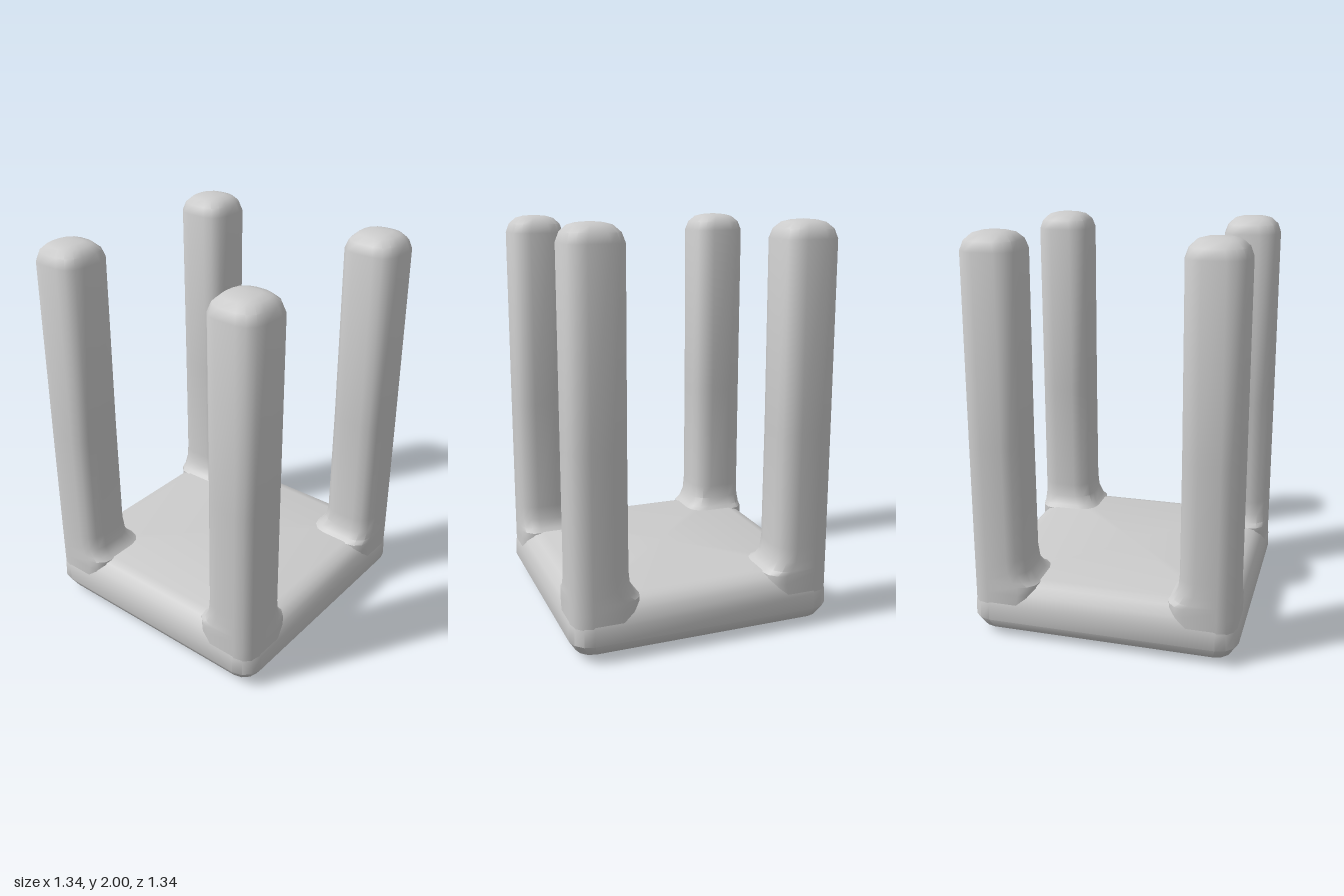
import * as THREE from 'three';
import { toCreasedNormals } from 'three/addons/utils/BufferGeometryUtils.js';

const CORNER_STEPS = 3;

// Outline of a rounded square at height y, centred on (cx, cz)
function ring(y, cx, cz, half, radius) {
  const points = [];
  for (let q = 0; q < 4; q++) {
    const mid = (q + 0.5) * Math.PI / 2;
    const ox = cx + Math.sign(Math.cos(mid)) * (half - radius);
    const oz = cz + Math.sign(Math.sin(mid)) * (half - radius);
    for (let s = 0; s <= CORNER_STEPS; s++) {
      const a = (q + s / CORNER_STEPS) * Math.PI / 2;
      points.push([ox + radius * Math.cos(a), y, oz + radius * Math.sin(a)]);
    }
  }
  return points;
}

// Skin stacked rings, bottom to top, and close both ends with fans
function loft(rings, bottomCentre, topCentre) {
  const n = rings[0].length;
  const index = [];
  const bottom = rings.length * n;
  const top = bottom + 1;
  const last = (rings.length - 1) * n;
  for (let j = 0; j < n; j++) {
    const k = (j + 1) % n;
    for (let i = 0; i < rings.length - 1; i++) {
      const a = i * n + j, b = i * n + k;
      index.push(a, a + n, b, b, a + n, b + n);
    }
    index.push(bottom, j, k, top, last + k, last + j);
  }
  const geometry = new THREE.BufferGeometry();
  const positions = [...rings.flat(), bottomCentre, topCentre].flat();
  geometry.setAttribute('position', new THREE.Float32BufferAttribute(positions, 3));
  geometry.setIndex(index);
  return toCreasedNormals(geometry, THREE.MathUtils.degToRad(38));
}

export function createModel() {
  const group = new THREE.Group();
  const material = new THREE.MeshStandardMaterial({ color: 0xcccccc });

  const add = (name, geometry) => {
    const mesh = new THREE.Mesh(geometry, material);
    mesh.name = name;
    group.add(mesh);
  };

  // Slab: height, half width, corner radius
  const slabProfile = [
    [0.014, 0.59, 0.05], [0.035, 0.635, 0.08], [0.09, 0.67, 0.1],
    [0.17, 0.668, 0.1], [0.235, 0.65, 0.09], [0.275, 0.61, 0.07], [0.29, 0.56, 0.05],
  ];
  add('slab', loft(
    slabProfile.map(([y, half, r]) => ring(y, 0, 0, half, r)),
    [0, 0, 0], [0, 0.292, 0],
  ));

  // Leg: height, inner edge, outer edge, corner radius; flared inward at the foot
  const legProfile = [
    [0.12, 0.35, 0.664, 0.09], [0.24, 0.325, 0.664, 0.09], [0.285, 0.325, 0.664, 0.09],
    [0.305, 0.35, 0.664, 0.09], [0.35, 0.372, 0.664, 0.09], [0.42, 0.379, 0.664, 0.09],
    [1.0, 0.38, 0.663, 0.09], [1.91, 0.376, 0.66, 0.09],
    [1.955, 0.391, 0.645, 0.085], [1.985, 0.423, 0.613, 0.07], [1.995, 0.46, 0.576, 0.045],
  ];
  for (const [side, sx] of [['Left', 1], ['Right', -1]]) {
    for (const [end, sz] of [['front', 1], ['back', -1]]) {
      const rings = legProfile.map(([y, inner, outer, r]) => {
        const c = (inner + outer) / 2;
        return ring(y, sx * c, sz * c, (outer - inner) / 2, r);
      });
      add(`${end}${side}Leg`, loft(
        rings, [sx * 0.51, 0.12, sz * 0.51], [sx * 0.518, 2, sz * 0.518],
      ));
    }
  }
  return group;
}
